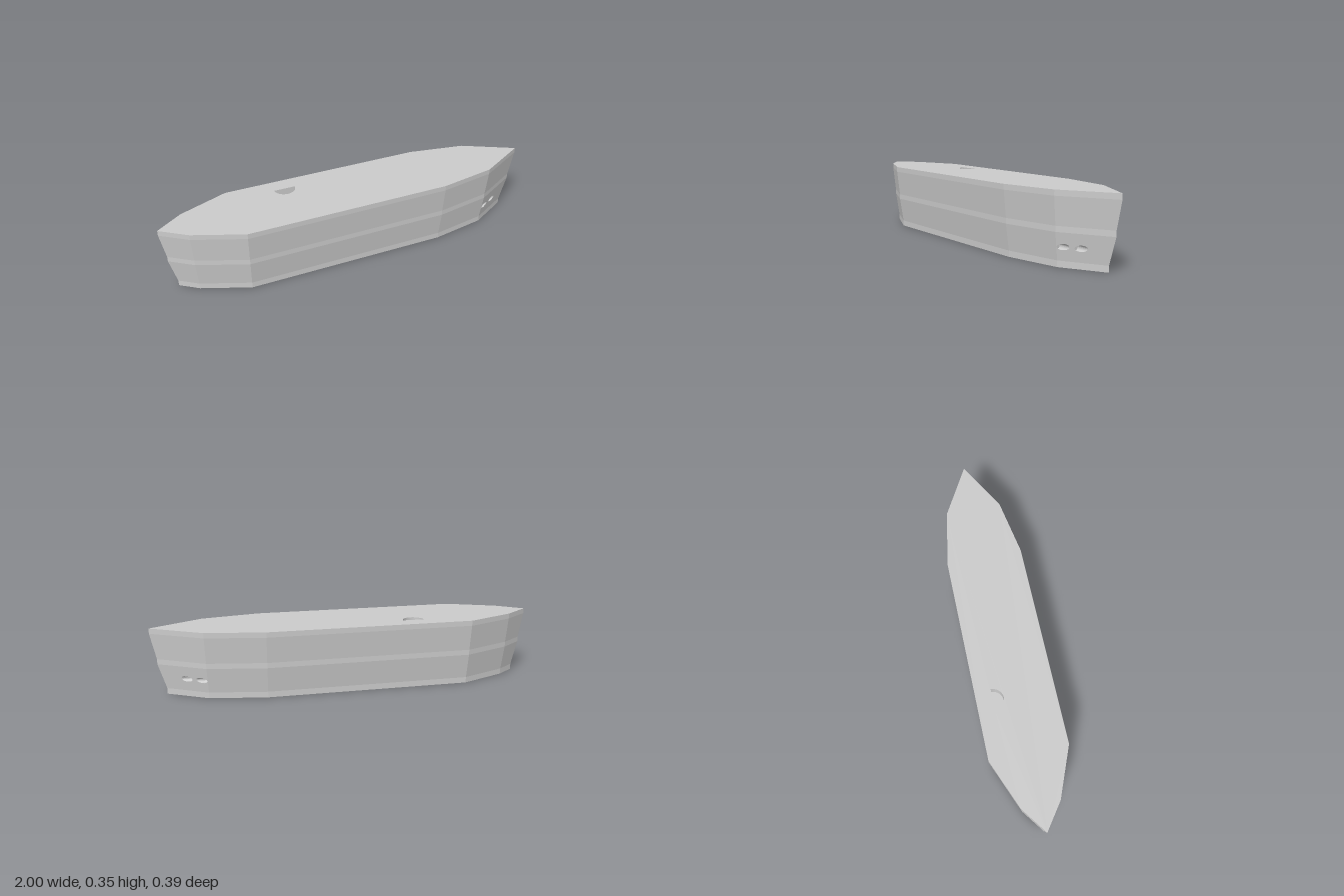
import * as THREE from 'three';

const H = 0.347;
// Deck outline, counter-clockwise seen from above (second value is -z)
const HALF = [[1, 0], [0.738, 0.145], [0.44, 0.197], [-0.62, 0.197], [-0.87, 0.095], [-1, 0]];
const OUTLINE = [...HALF, ...HALF.slice(1, -1).reverse().map(([x, y]) => [x, -y])]
  .map(([x, y]) => new THREE.Vector2(x, y));
// Hull levels: [height, inset from the deck outline]
const LEVELS = [[0, 0.033], [0.03, 0.033], [0.16, 0.014], [0.187, 0.014], [0.32, 0], [H, 0]];

// Mitred inset of the outline
function inset(d) {
  const n = OUTLINE.length;
  const normal = (a, b) => new THREE.Vector2(b.y - a.y, a.x - b.x).normalize();
  return OUTLINE.map((p, i) => {
    const n1 = normal(OUTLINE[(i + n - 1) % n], p);
    const n2 = normal(p, OUTLINE[(i + 1) % n]);
    return p.clone().addScaledVector(n1.clone().add(n2), -d / (1 + n1.dot(n2)));
  });
}

function quadGeometry(quads) {
  const pos = [];
  for (const [a, b, c, d] of quads) for (const p of [a, b, c, a, c, d]) pos.push(p.x, p.y, p.z);
  const g = new THREE.BufferGeometry();
  g.setAttribute('position', new THREE.Float32BufferAttribute(pos, 3));
  g.computeVertexNormals();
  return g;
}

export function createModel() {
  const group = new THREE.Group();
  const mat = new THREE.MeshStandardMaterial({ color: 0xcccccc, flatShading: true });
  const open = new THREE.MeshStandardMaterial({ color: 0xcccccc, flatShading: true, side: THREE.DoubleSide });
  const add = (name, geo, m = mat) => {
    const mesh = new THREE.Mesh(geo, m);
    mesh.name = name;
    group.add(mesh);
    return mesh;
  };

  // Hull sides, leaving out the two bow panels that carry tube openings
  const rings = LEVELS.map(([y, d]) => inset(d).map(p => new THREE.Vector3(p.x, y, -p.y)));
  const n = OUTLINE.length;
  const sides = [];
  for (let k = 0; k < LEVELS.length - 1; k++) {
    for (let i = 0; i < n; i++) {
      if (k === 1 && (i === 0 || i === n - 1)) continue;
      const j = (i + 1) % n;
      sides.push([rings[k][i], rings[k][j], rings[k + 1][j], rings[k + 1][i]]);
    }
  }
  add('hullSides', quadGeometry(sides));

  // Keel plate
  const keel = new THREE.ShapeGeometry(new THREE.Shape(inset(LEVELS[0][1])));
  add('keelPlate', keel.rotateX(Math.PI / 2));

  // Deck with a half-round hatch well
  const half = (P) => new P().absarc(-0.33, 0.115, 0.055, Math.PI, 2 * Math.PI, false).closePath();
  const deckShape = new THREE.Shape(OUTLINE);
  deckShape.holes.push(half(THREE.Path));
  add('deck', new THREE.ShapeGeometry(deckShape, 16).rotateX(-Math.PI / 2).translate(0, H, 0));
  const depth = 0.05;
  const rim = half(THREE.Shape).getPoints(16).map(p => new THREE.Vector3(p.x, H, -p.y));
  const down = p => p.clone().setY(H - depth);
  add('hatchWall', quadGeometry(rim.map((p, i) => {
    const q = rim[(i + 1) % rim.length];
    return [p, q, down(q), down(p)];
  })), open);
  add('hatchFloor', new THREE.ShapeGeometry(half(THREE.Shape), 16)
    .rotateX(-Math.PI / 2).translate(0, H - depth, 0));

  // Bow panels with two forward-facing tubes on each side
  const [tipLo, tipHi] = [rings[1][0], rings[2][0]];
  const [shLo, shHi] = [rings[1][n - 1], rings[2][n - 1]];
  const plane = new THREE.Plane().setFromCoplanarPoints(shLo, tipLo, tipHi);
  const { normal: N, constant: C } = plane;
  const SEG = 20, R = 0.0145, Y = 0.094;
  for (const s of [1, -1]) {
    const side = s > 0 ? 'left' : 'right';
    const panel = new THREE.Shape([shLo, tipLo, tipHi, shHi].map(p => new THREE.Vector2(p.x, p.y)));
    for (const z of [0.067, 0.107]) {
      // Opening where a bore running along x meets the sloping panel
      const edge = Array.from({ length: SEG }, (_, i) => {
        const a = i / SEG * 2 * Math.PI;
        const y = Y + R * Math.sin(a), zz = z + R * Math.cos(a);
        return new THREE.Vector3(-(N.y * y + N.z * zz + C) / N.x, y, zz);
      });
      panel.holes.push(new THREE.Path(edge.map(p => new THREE.Vector2(p.x, p.y))));
      const back = Math.min(...edge.map(p => p.x)) - 0.03;
      const place = p => new THREE.Vector3(p.x, p.y, p.z * s);
      add(side + 'TubeBore', quadGeometry(edge.map((p, i) => {
        const q = edge[(i + 1) % SEG];
        return [p, q, q.clone().setX(back), p.clone().setX(back)].map(place);
      })), open);
      add(side + 'TubeEnd', new THREE.CircleGeometry(R, SEG).rotateY(Math.PI / 2).translate(back, Y, z * s));
      // Inner tube door
      add(side + 'TubeDoor', new THREE.CylinderGeometry(0.0115, 0.0115, 0.02, SEG)
        .rotateZ(-Math.PI / 2).translate(back + 0.01, Y, z * s));
    }
    const geo = new THREE.ShapeGeometry(panel);
    const pos = geo.attributes.position;
    for (let i = 0; i < pos.count; i++) {
      pos.setZ(i, -s * (N.x * pos.getX(i) + N.y * pos.getY(i) + C) / N.z);
    }
    if (s < 0) geo.index.array.reverse();
    geo.computeVertexNormals();
    add(side + 'BowPanel', geo);
  }
  return group;
}
